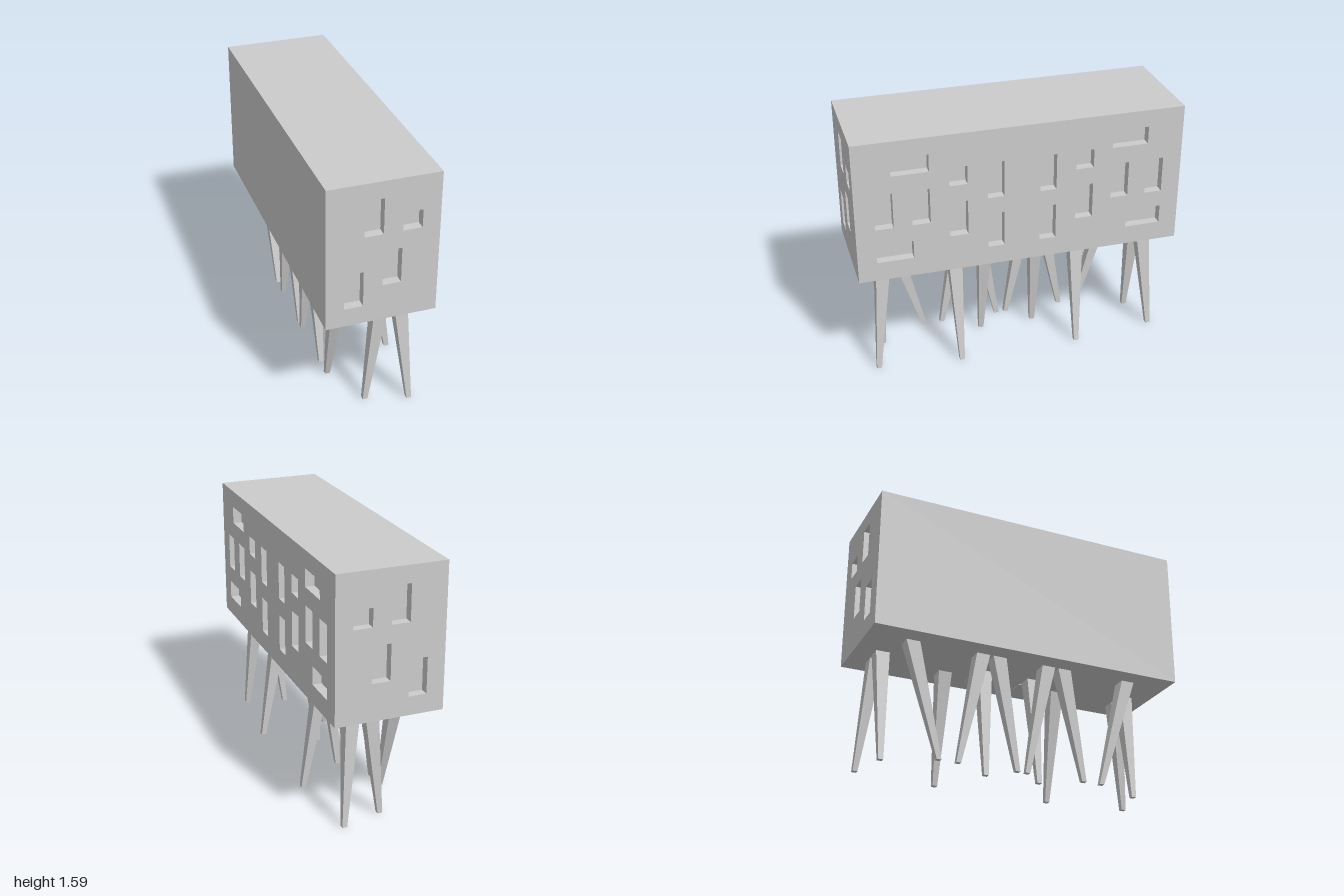
import * as THREE from 'three';
import { mergeGeometries } from 'three/addons/utils/BufferGeometryUtils.js';

const W = 0.33, L = 1, Y0 = 0.7, Y1 = 1.59; // half width, half length, underside, roof
const DEPTH = 0.056;                        // window recess

// Flat wall facing +z with recessed windows; each window is [u0, u1, y0, y1]
function wallGeometry(half, windows) {
  const shape = new THREE.Shape();
  shape.moveTo(-half, Y0).lineTo(half, Y0).lineTo(half, Y1).lineTo(-half, Y1).closePath();
  const parts = [];
  for (const [a, b, c, d] of windows) {
    const hole = new THREE.Path();
    hole.moveTo(a, c).lineTo(a, d).lineTo(b, d).lineTo(b, c).closePath();
    shape.holes.push(hole);
    // inside-out box without its outer face
    const niche = new THREE.BoxGeometry(b - a, d - c, DEPTH);
    const index = Array.from(niche.index.array);
    index.splice(24, 6);
    niche.setIndex(index.reverse());
    niche.attributes.normal.array.forEach((n, i, arr) => { arr[i] = -n; });
    niche.translate((a + b) / 2, (c + d) / 2, -DEPTH / 2);
    parts.push(niche);
  }
  return mergeGeometries([new THREE.ShapeGeometry(shape), ...parts]);
}

// Square tapering leg from top centre to foot centre
function legGeometry(top, foot) {
  const g = new THREE.BoxGeometry(1, 1, 1);
  const p = g.attributes.position;
  for (let i = 0; i < p.count; i++) {
    const up = p.getY(i) > 0;
    const [cx, cz] = up ? top : foot;
    const size = up ? 0.086 : 0.03;
    p.setXYZ(i, cx + p.getX(i) * size, up ? Y0 : 0, cz + p.getZ(i) * size);
  }
  g.computeVertexNormals();
  return g;
}

export function createModel() {
  const model = new THREE.Group();
  const mat = new THREE.MeshStandardMaterial({ color: 0xcccccc, flatShading: true });
  const add = (name, geometry, parent = model) => {
    const mesh = new THREE.Mesh(geometry, mat);
    mesh.name = name;
    parent.add(mesh);
    return mesh;
  };

  const body = new THREE.Group();
  body.name = 'body';
  model.add(body);

  // End walls, the back one mirroring the front
  const endWindows = [
    [-0.112, 0, 1.262, 1.485], [0.111, 0.225, 1.262, 1.375],
    [0, 0.111, 0.93, 1.153], [-0.223, -0.111, 0.815, 1.04],
  ];
  add('frontWall', wallGeometry(W, endWindows), body).position.z = L;
  const mirrored = endWindows.map(([a, b, c, d]) => [-b, -a, c, d]);
  const back = add('backWall', wallGeometry(W, mirrored), body);
  back.position.z = -L;
  back.rotation.y = Math.PI;

  // Windowed side wall, symmetric about its middle
  const halfWindows = [
    [0.557, 0.779, 1.373, 1.483], [0.776, 0.885, 1.04, 1.265],
    [0.557, 0.665, 1.04, 1.265], [0.332, 0.441, 1.263, 1.38],
    [0.332, 0.441, 0.93, 1.153], [0.11, 0.21, 1.15, 1.38],
    [0.11, 0.21, 0.82, 1.045], [0.664, 0.885, 0.82, 0.935],
  ];
  const sideWindows = halfWindows.flatMap(([a, b, c, d]) => [[a, b, c, d], [-b, -a, c, d]]);
  const side = add('leftWall', wallGeometry(L, sideWindows), body);
  side.position.x = W;
  side.rotation.y = Math.PI / 2;

  // Plain side wall, roof and underside
  const blank = add('rightWall', wallGeometry(L, []), body);
  blank.position.x = -W;
  blank.rotation.y = -Math.PI / 2;
  add('roof', new THREE.PlaneGeometry(2 * W, 2 * L).rotateX(-Math.PI / 2), body).position.y = Y1;
  add('underside', new THREE.PlaneGeometry(2 * W, 2 * L).rotateX(Math.PI / 2), body).position.y = Y0;

  // Splayed legs: [top x, top z, foot x, foot z], mirrored front to back
  const legs = [
    [0.167, 0.835, 0.23, 0.902], [0.053, 0.835, -0.025, 0.83],
    [-0.167, 0.722, -0.162, 0.528], [0.167, 0.388, 0.288, 0.38],
    [-0.167, 0.273, -0.162, 0.407], [0.053, 0.165, -0.025, 0.175],
    [-0.167, 0.165, -0.162, 0.032],
  ];
  for (const s of [1, -1]) {
    const group = new THREE.Group();
    group.name = s > 0 ? 'frontLegs' : 'backLegs';
    model.add(group);
    for (const [tx, tz, fx, fz] of legs) add('leg', legGeometry([tx, s * tz], [fx, s * fz]), group);
    // Thin pad under the body
    add('pad', new THREE.BoxGeometry(0.111, 0.005, 0.111), group).position.set(0.165, Y0 - 0.0025, s * 0.165);
  }
  return model;
}
